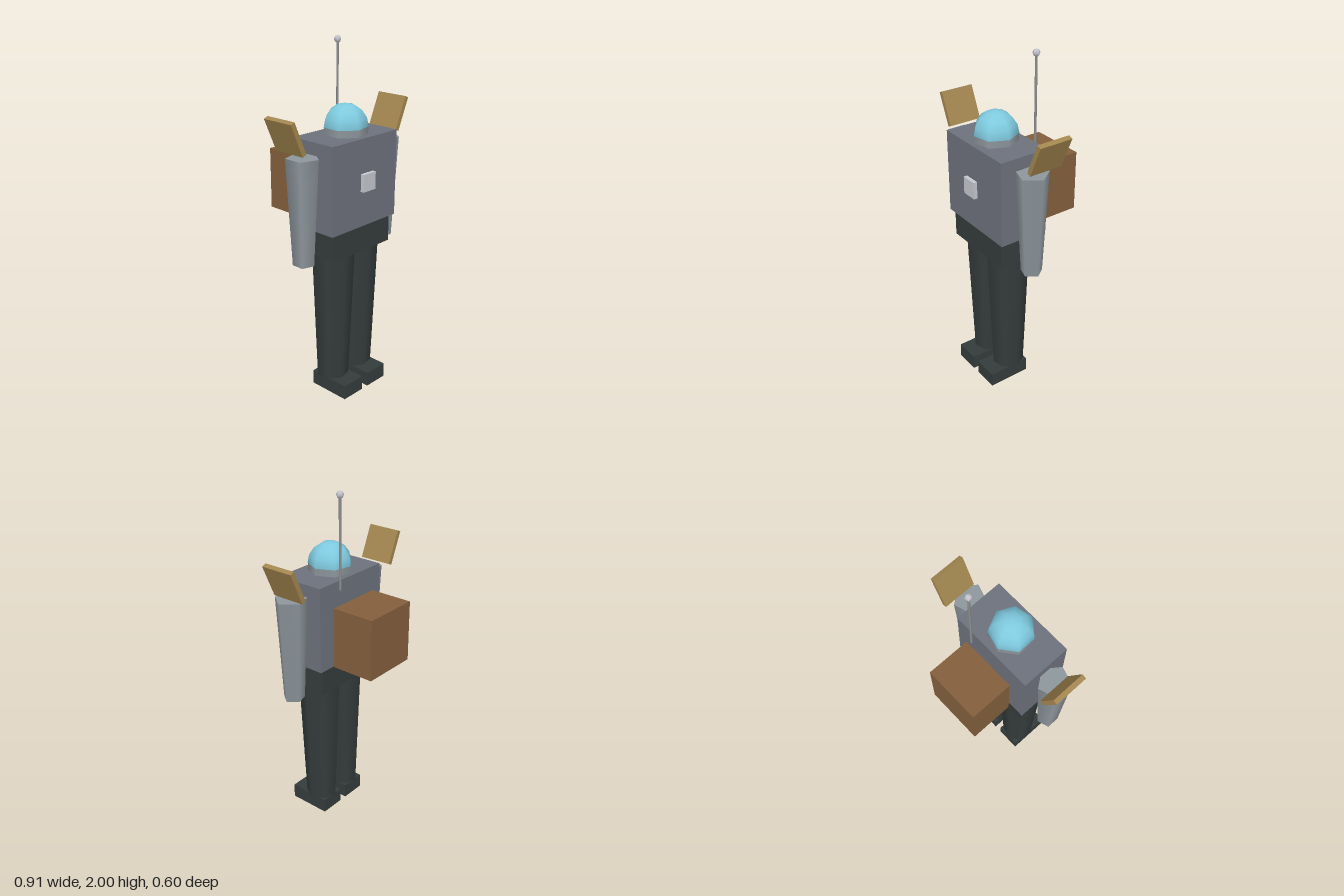
import * as THREE from 'three';

const mat = (name, color) => {
  const m = new THREE.MeshStandardMaterial({ color });
  m.name = name;
  return m;
};

export function createModel() {
  const steel = mat('steel grey', 0x6d717c);
  const sleeve = mat('light grey', 0x8d969c);
  const dark = mat('dark trousers', 0x343c3b);
  const glass = mat('dome blue', 0x7fcadf);
  const brass = mat('brass', 0xa2864f);
  const leather = mat('leather brown', 0x835f3c);
  const silver = mat('silver', 0xc6c6cf);
  const rod = mat('rod grey', 0x8f9092);

  const model = new THREE.Group();
  const add = (name, geometry, material, x, y, z) => {
    const mesh = new THREE.Mesh(geometry, material);
    mesh.name = name;
    mesh.position.set(x, y, z);
    model.add(mesh);
    return mesh;
  };
  // Box given by its centre x and its y and z ranges
  const box = (name, material, x, w, y0, y1, z0, z1) =>
    add(name, new THREE.BoxGeometry(w, y1 - y0, z1 - z0), material, x, (y0 + y1) / 2, (z0 + z1) / 2);
  // Upright tapered prism with one corner pointing to +x
  const taper = (name, material, rTop, rBottom, sides, x, y0, y1, z) =>
    add(name, new THREE.CylinderGeometry(rTop, rBottom, y1 - y0, sides, 1, false, Math.PI / 2), material, x, (y0 + y1) / 2, z);

  // Trunk
  box('torso', steel, 0, 0.506, 1.02, 1.51, -0.025, 0.267);
  box('hips', dark, 0, 0.446, 0.865, 1.02, -0.007, 0.253);
  box('chestPlate', silver, 0, 0.094, 1.226, 1.324, 0.277, 0.299);
  box('backpack', leather, 0, 0.334, 1.03, 1.38, -0.3, -0.045);

  // Head
  taper('collar', sleeve, 0.122, 0.122, 7, 0, 1.49, 1.55, 0.12);
  add('dome', new THREE.SphereGeometry(0.124, 7, 4, Math.PI, Math.PI * 2, 0, Math.PI / 2), glass, 0, 1.55, 0.12);

  // Limbs and shoulder flaps
  for (const [side, s] of [['left', 1], ['right', -1]]) {
    taper(side + 'Arm', sleeve, 0.092, 0.061, 5, s * 0.32, 0.845, 1.44, 0.12);
    taper(side + 'Leg', dark, 0.124, 0.092, 7, s * 0.098, 0.08, 0.93, 0.122);
    box(side + 'Foot', dark, s * 0.098, 0.148, 0, 0.086, 0.037, 0.289);
    const flap = box(side + 'ShoulderFlap', brass, s * 0.404, 0.027, 1.461, 1.657, -0.016, 0.18);
    flap.rotation.z = -s * 0.41;
  }

  // Antenna
  taper('antennaRod', rod, 0.007, 0.007, 5, 0.118, 1.47, 1.97, -0.05);
  add('antennaTip', new THREE.SphereGeometry(0.021, 5, 4, Math.PI), silver, 0.118, 1.979, -0.05);

  return model;
}
